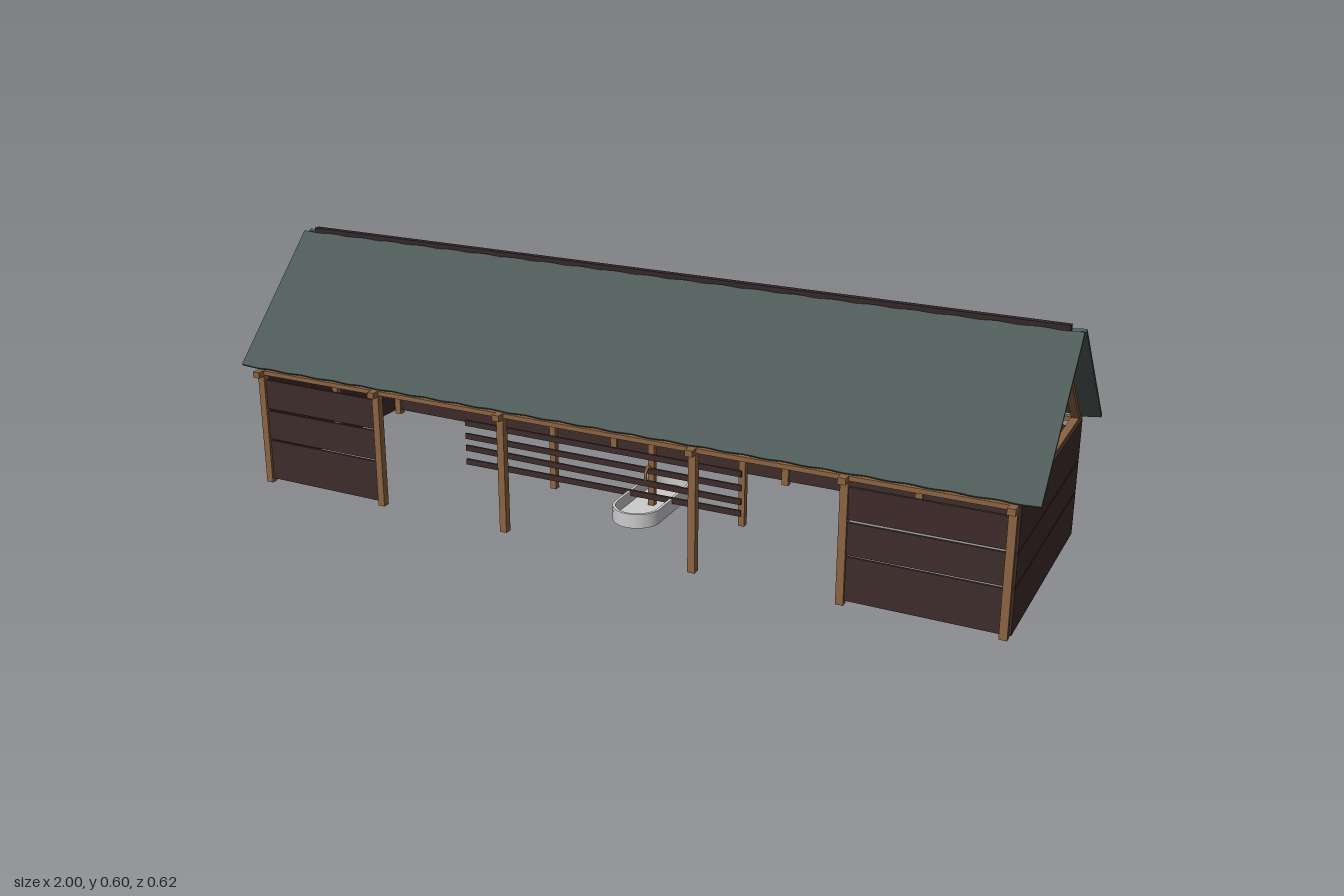
import * as THREE from 'three';

const mat = (color) => new THREE.MeshStandardMaterial({ color, roughness: 0.9 });

export function createModel() {
  const barn = new THREE.Group();
  barn.name = 'openBarn';
  const wood = mat(0x8a6340), plank = mat(0x3d2c2a), sheet = mat(0x4e5a58), ridge = mat(0x33272a);
  const metal = mat(0xcccccc);
  let seed = 7;
  const jitter = (a) => {
    seed = (seed * 16807) % 2147483647;
    return (seed / 2147483647 - 0.5) * 2 * a;
  };

  const box = (name, size, pos, material, parent = barn) => {
    const m = new THREE.Mesh(new THREE.BoxGeometry(...size), material);
    m.name = name;
    m.position.set(...pos);
    parent.add(m);
    return m;
  };
  // Sloping timber between two points
  const timber = (name, a, b, w, h, parent) => {
    const p = new THREE.Vector3(...a), q = new THREE.Vector3(...b);
    const m = box(name, [w, h, p.distanceTo(q)], p.clone().add(q).multiplyScalar(0.5).toArray(), wood, parent);
    m.lookAt(q);
    return m;
  };
  const group = (name) => {
    const g = new THREE.Group();
    g.name = name;
    barn.add(g);
    return g;
  };

  const bays = [-0.945, -0.6, -0.25, 0.24, 0.59, 0.945];
  const Z = 0.281;

  // Post and truss frames
  for (const x of bays) {
    const g = group('frame');
    box('tieBeam', [0.018, 0.015, 0.616], [x, 0.293, 0], wood, g);
    box('kingPost', [0.016, 0.28, 0.016], [x, 0.44, 0], wood, g);
    for (const s of [1, -1]) {
      box('wallPost', [0.018, 0.288, 0.018], [x, 0.144, s * Z], wood, g);
      timber('rafter', [x, 0.303, s * 0.277], [x, 0.576, s * 0.004], 0.018, 0.016, g);
      timber('strut', [x, 0.36, s * 0.004], [x, 0.463, s * 0.106], 0.01, 0.009, g);
    }
  }
  for (const s of [1, -1]) {
    box('topPlate', [1.9, 0.011, 0.014], [0, 0.294, s * Z], wood);
    box('endPost', [0.016, 0.288, 0.016], [s * 0.943, 0.144, 0], wood);
  }

  // Plank walls: each course is [bottom, top]
  const sideCourses = [[0.01, 0.113], [0.118, 0.193], [0.199, 0.274]];
  const endCourses = [[0.009, 0.115], [0.118, 0.193], [0.196, 0.296]];
  const sidePanel = (i, z) => {
    const x0 = bays[i], x1 = bays[i + 1];
    for (const [y0, y1] of sideCourses) {
      const m = box('sidePlank', [x1 - x0, y1 - y0, 0.006], [(x0 + x1) / 2, (y0 + y1) / 2, z], plank);
      m.rotation.z = jitter(0.004);
      m.rotation.x = jitter(0.03);
    }
  };
  for (let i = 0; i < 5; i++) sidePanel(i, -Z);
  sidePanel(0, Z);
  sidePanel(4, Z);
  for (const s of [1, -1]) {
    for (const [y0, y1] of endCourses) {
      const m = box('endPlank', [0.005, y1 - y0, 0.564], [s * 0.957, (y0 + y1) / 2, 0], plank);
      m.rotation.x = jitter(0.002);
    }
  }

  // Corrugated roof sheets
  const rise = 0.282, run = 0.281;
  for (const s of [1, -1]) {
    const geo = new THREE.BoxGeometry(2, 0.007, Math.hypot(rise, run), 176, 1, 1);
    const p = geo.attributes.position;
    for (let i = 0; i < p.count; i++) {
      p.setY(i, p.getY(i) + 0.0025 * Math.cos(p.getX(i) * Math.PI * 22));
    }
    geo.computeVertexNormals();
    const m = new THREE.Mesh(geo, sheet);
    m.name = 'roofSheet';
    m.position.set(0, 0.446, s * 0.1485);
    m.rotation.x = s * Math.atan2(rise, run);
    barn.add(m);
  }
  box('ridgeBeam', [1.94, 0.04, 0.016], [0, 0.58, 0], ridge);

  // Rail fence down the middle
  const fence = group('fence');
  for (const x of [-0.275, 0, 0.24]) {
    box('fencePost', [0.016, 0.17, 0.016], [x, 0.085, 0], wood, fence);
  }
  [0.032, 0.066, 0.1, 0.136].forEach((y) => {
    const m = box('fenceRail', [0.77, 0.015, 0.006], [-0.145, y, 0.01], plank, fence);
    m.rotation.z = jitter(0.006);
  });

  // Oval water trough under the fence
  const oval = (path, r, half) => {
    path.absarc(0, half, r, 0, Math.PI, false);
    path.absarc(0, -half, r, Math.PI, Math.PI * 2, false);
    path.closePath();
    return path;
  };
  const trough = group('trough');
  const addOval = (name, shape, depth, y) => {
    const geo = new THREE.ExtrudeGeometry(shape, { depth, bevelEnabled: false, curveSegments: 20 });
    geo.rotateX(-Math.PI / 2);
    const m = new THREE.Mesh(geo, metal);
    m.name = name;
    m.position.y = y;
    trough.add(m);
  };
  const wall = oval(new THREE.Shape(), 0.06, 0.08);
  wall.holes.push(oval(new THREE.Path(), 0.053, 0.08));
  addOval('troughWall', wall, 0.036, 0.002);
  addOval('troughFloor', oval(new THREE.Shape(), 0.054, 0.08), 0.006, 0.002);

  // Tap on the post over the trough
  const spout = new THREE.CatmullRomCurve3([
    new THREE.Vector3(0, 0.1, 0.006), new THREE.Vector3(0, 0.115, 0.022),
    new THREE.Vector3(0, 0.105, 0.036), new THREE.Vector3(0, 0.085, 0.038),
  ]);
  const tap = new THREE.Mesh(new THREE.TubeGeometry(spout, 12, 0.004, 8), wood);
  tap.name = 'tap';
  barn.add(tap);

  return barn;
}
